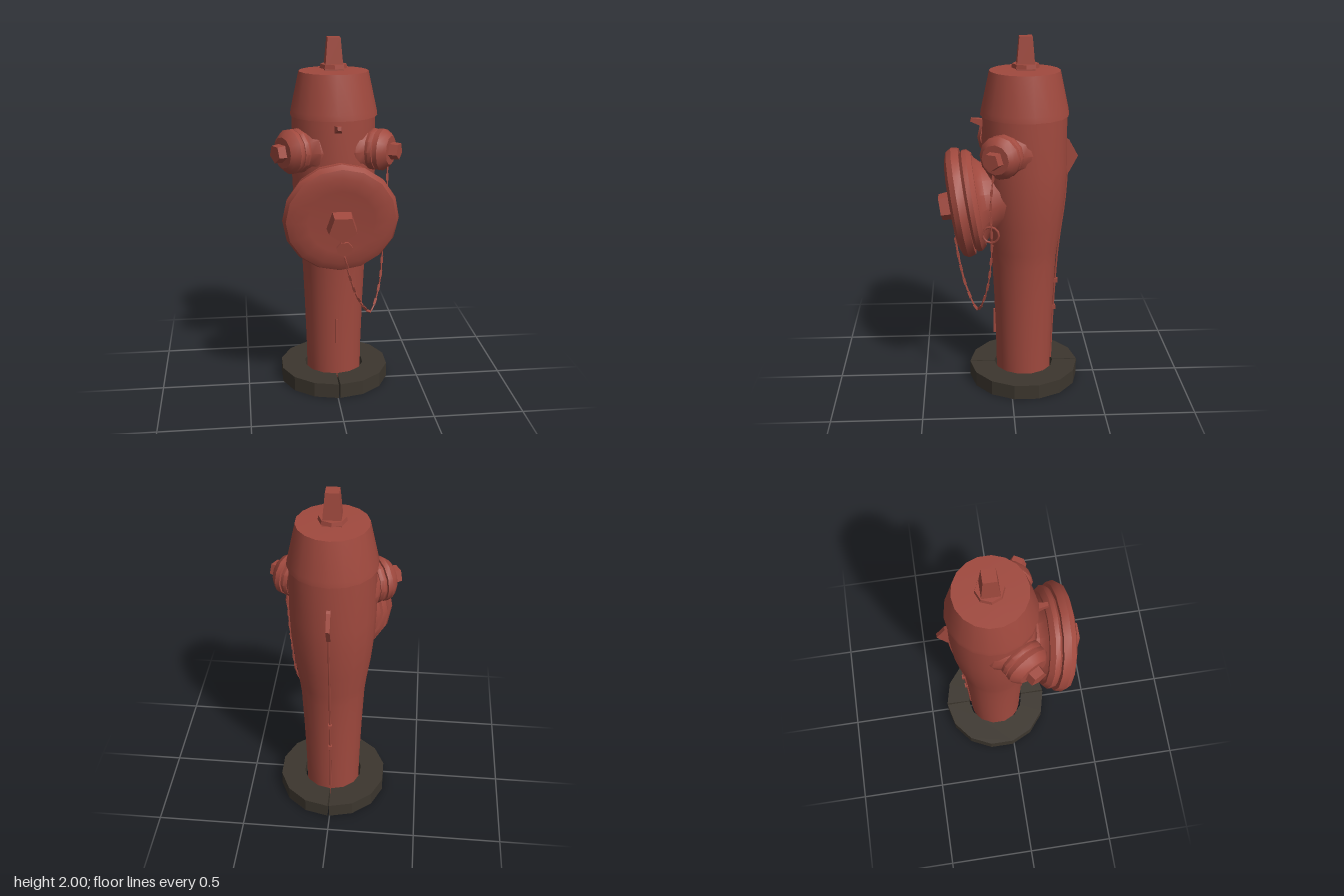
import * as THREE from 'three';
import { toCreasedNormals } from 'three/addons/utils/BufferGeometryUtils.js';

const CX = 0.008, CZ = -0.08; // barrel axis

export function createModel() {
  const red = new THREE.MeshStandardMaterial({ color: 0xa0493e });
  red.name = 'hydrantRed';
  const dark = new THREE.MeshStandardMaterial({ color: 0x3c362e });
  dark.name = 'darkBase';
  const model = new THREE.Group();
  model.name = 'fireHydrant';

  const add = (name, geo, parent = model, pos = [0, 0, 0], mat = red) => {
    const m = new THREE.Mesh(geo, mat);
    m.name = name;
    m.position.set(...pos);
    parent.add(m);
    return m;
  };
  // profile of [radius, height] turned about y, or about z when forward is set
  const lathe = (pts, sides, forward = false) => {
    const g = new THREE.LatheGeometry(pts.map(p => new THREE.Vector2(...p)), sides);
    if (forward) g.rotateX(Math.PI / 2);
    return toCreasedNormals(g, 0.65);
  };
  const prism = (r0, r1, h, sides) => toCreasedNormals(new THREE.CylinderGeometry(r1, r0, h, sides), 0.3);
  const plate = (pts, depth) => {
    const g = new THREE.ExtrudeGeometry(new THREE.Shape(pts.map(p => new THREE.Vector2(...p))),
      { depth, bevelEnabled: false });
    return g.translate(0, 0, -depth / 2).rotateY(-Math.PI / 2); // shape x becomes z
  };

  // Base ring in two halves with a thin split between them
  [0, Math.PI].forEach((turn, i) => {
    const s = new THREE.Shape(), gap = 0.015;
    const n = 7, a0 = -Math.PI / 2 + gap, a1 = Math.PI / 2 - gap;
    for (let k = 0; k <= n; k++) {
      const a = a0 + (a1 - a0) * k / n;
      s[k ? 'lineTo' : 'moveTo'](0.315 * Math.cos(a), 0.315 * Math.sin(a));
    }
    for (let k = n; k >= 0; k--) {
      const a = a0 + (a1 - a0) * k / n;
      s.lineTo(0.172 * Math.cos(a), 0.172 * Math.sin(a));
    }
    const g = new THREE.ExtrudeGeometry(s, { depth: 0.085, bevelEnabled: false });
    g.rotateX(-Math.PI / 2).rotateY(turn);
    add(i ? 'baseRingRight' : 'baseRingLeft', g, model, [CX, 0, CZ], dark);
  });

  // Barrel, bonnet and finial
  add('barrel', lathe([[0, 0.01], [0.157, 0.01], [0.16, 0.2], [0.17, 0.5], [0.181, 0.74], [0.19, 0.82],
    [0.212, 0.97], [0.23, 1.15], [0.236, 1.3], [0.232, 1.59]], 20), model, [CX, 0, CZ]);
  add('bonnet', lathe([[0.225, 1.58], [0.242, 1.58], [0.238, 1.61], [0.192, 1.82], [0, 1.825]], 18),
    model, [CX, 0, CZ]);
  add('finialFlange', prism(0.076, 0.072, 0.022, 8), model, [CX, 1.845, CZ - 0.003]);
  add('finial', prism(0.072, 0.05, 0.18, 4).rotateY(Math.PI / 4), model, [CX, 1.91, CZ - 0.003]);

  // Large front outlet, leaning slightly down
  const front = new THREE.Group();
  front.name = 'frontOutlet';
  front.position.set(CX, 1.075, 0.322);
  front.rotation.x = 0.16;
  model.add(front);
  add('frontNeck', lathe([[0.2, -0.36], [0.195, -0.26], [0.205, -0.19], [0.235, -0.16], [0.27, -0.14]], 16, true), front);
  add('frontCollar', lathe([[0.2, -0.155], [0.265, -0.15], [0.288, -0.125], [0.288, -0.1], [0.26, -0.075]], 16, true), front);
  add('frontCap', lathe([[0.25, -0.085], [0.302, -0.085], [0.312, -0.045], [0.295, -0.015],
    [0.25, 0.002], [0.18, 0], [0, -0.01]], 16, true), front);
  add('frontCapNut', prism(0.085, 0.078, 0.08, 5).rotateX(Math.PI / 2), front, [0, -0.01, 0.03]);

  // Two smaller side outlets, angled forward
  [-1, 1].forEach(side => {
    const g = new THREE.Group();
    g.name = side < 0 ? 'rightOutlet' : 'leftOutlet';
    g.position.set(CX, 1.405, CZ);
    g.rotation.y = side * Math.PI / 3;
    const s = side < 0 ? 1 : 0.94;
    g.scale.set(s, s, 1);
    model.add(g);
    add('outletBoss', lathe([[0.165, 0.13], [0.15, 0.19], [0.115, 0.225], [0.1, 0.25]], 12, true), g);
    add('outletCollar', lathe([[0.09, 0.222], [0.118, 0.228], [0.124, 0.245], [0.118, 0.265], [0.1, 0.272]], 12, true), g);
    add('outletCap', lathe([[0.1, 0.268], [0.122, 0.272], [0.124, 0.298], [0.105, 0.325],
      [0.085, 0.342], [0, 0.345]], 12, true), g);
    add('outletNut', prism(0.056, 0.05, 0.06, 5).rotateX(Math.PI / 2), g, [0, 0, 0.36]);
  });

  // Small spout on the front and fin on the back
  const spout = prism(0.036, 0.014, 0.11, 4).rotateY(Math.PI / 4).rotateX(Math.PI / 2);
  add('frontLug', spout, model, [CX, 1.54, 0.16]).rotation.x = -0.25;
  add('backFin', plate([[-0.3, 1.24], [-0.3, 1.45], [-0.328, 1.43], [-0.375, 1.345], [-0.325, 1.25]], 0.022), model, [CX, 0, 0]);
  add('frontSeamLip', new THREE.BoxGeometry(0.012, 0.15, 0.02), model, [CX, 0.35, 0.086]);

  // Rod and knobs down the back seam
  const rod = new THREE.CatmullRomCurve3([[1.28, -0.318], [1.1, -0.308], [0.8, -0.273], [0.4, -0.25], [0.1, -0.24]]
    .map(([y, z]) => new THREE.Vector3(CX, y, z)));
  add('backSeamRod', new THREE.TubeGeometry(rod, 14, 0.006, 5), model);
  [[0.6, -0.262], [0.43, -0.252]].forEach(([y, z]) =>
    add('backSeamKnob', new THREE.BoxGeometry(0.022, 0.025, 0.026), model, [CX, y, z]));

  // Chain from the front cap to the left outlet
  const path = new THREE.CatmullRomCurve3([[0.025, 0.88, 0.31], [0.055, 0.76, 0.29], [0.11, 0.61, 0.25],
    [0.185, 0.51, 0.19], [0.24, 0.64, 0.14], [0.265, 0.9, 0.11], [0.28, 1.15, 0.115], [0.285, 1.32, 0.1]]
    .map(p => new THREE.Vector3(...p)));
  const chain = new THREE.Group();
  chain.name = 'chain';
  model.add(chain);
  const up = new THREE.Vector3(0, 1, 0), links = 32;
  for (let i = 0; i < links; i++) {
    const t = (i + 0.5) / links, p = path.getPointAt(t);
    const link = add('chainLink', new THREE.BoxGeometry(0.014, 0.038, 0.006), chain, [p.x, p.y, p.z]);
    link.quaternion.setFromUnitVectors(up, path.getTangentAt(t));
    link.rotateY(i % 2 ? Math.PI / 2 : 0);
  }
  add('chainTab', prism(0.045, 0.045, 0.016, 7).rotateX(Math.PI / 2 + 0.16), model, [0.025, 0.92, 0.305]);
  add('chainRing', new THREE.TorusGeometry(0.045, 0.007, 5, 12).rotateY(Math.PI / 2.4), model, [0.24, 0.97, 0.115]);
  return model;
}
